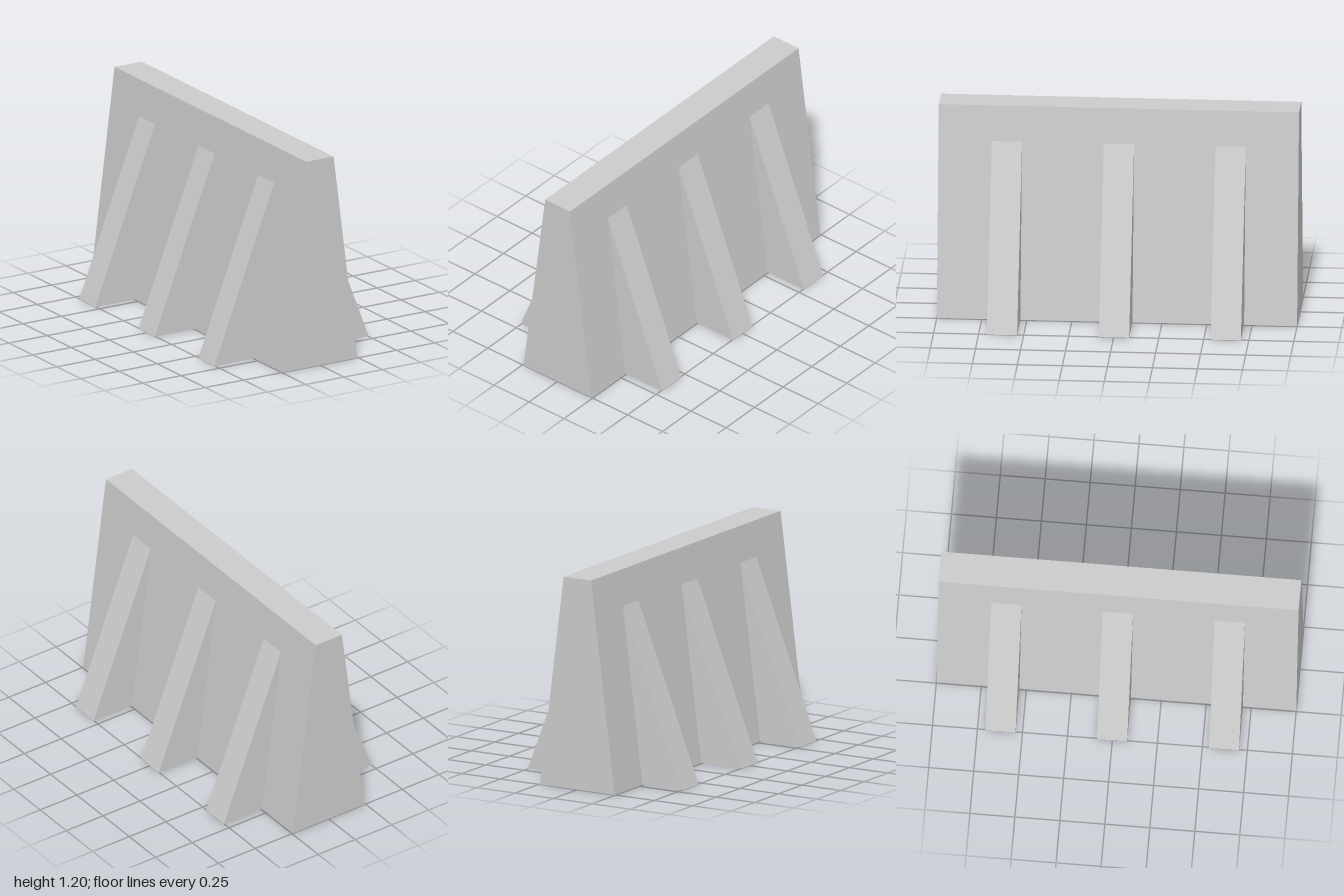
import * as THREE from 'three';

const LENGTH = 2, HEIGHT = 1.2;
const FOOT = 0.243, CREST = 0.089; // half widths of the wall
const REACH = 0.504, RIB_TOP = 1.0, RIB_WIDTH = 0.168;

const material = new THREE.MeshStandardMaterial({ color: 0xcccccc, flatShading: true });

// Extrudes an x-y outline along z, centred on the given z.
function slab(name, points, depth, z = 0) {
  const shape = new THREE.Shape(points.map(([x, y]) => new THREE.Vector2(x, y)));
  const geometry = new THREE.ExtrudeGeometry(shape, { depth, bevelEnabled: false });
  geometry.translate(0, 0, z - depth / 2);
  const mesh = new THREE.Mesh(geometry, material);
  mesh.name = name;
  return mesh;
}

export function createModel() {
  const model = new THREE.Group();
  model.name = 'buttressedWall';

  // Tapered wall
  model.add(slab('wall', [[-FOOT, 0], [FOOT, 0], [CREST, HEIGHT], [-CREST, HEIGHT]], LENGTH));

  // Three pairs of sloping buttresses, flush against the wall faces
  const wallX = FOOT + (CREST - FOOT) * (RIB_TOP / HEIGHT);
  for (const z of [-0.622, -0.002, 0.62]) {
    for (const side of [1, -1]) {
      const outline = [[side * FOOT, 0], [side * REACH, 0], [side * wallX, RIB_TOP]];
      model.add(slab(side > 0 ? 'leftButtress' : 'rightButtress', outline, RIB_WIDTH, z));
    }
  }
  return model;
}
